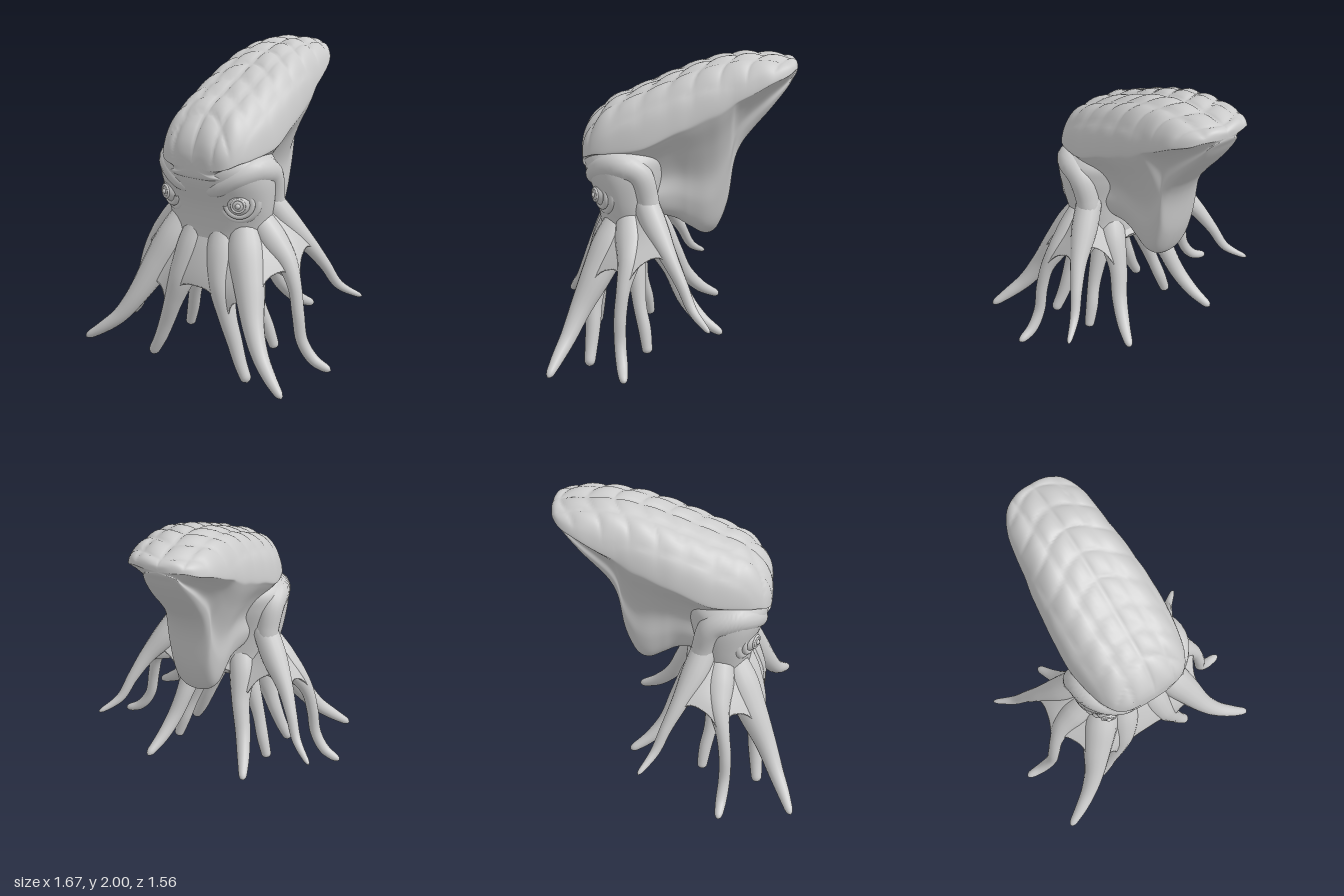
import * as THREE from 'three';
import { mergeVertices } from 'three/addons/utils/BufferGeometryUtils.js';
import { ParametricGeometry } from 'three/addons/geometries/ParametricGeometry.js';

const material = new THREE.MeshStandardMaterial({ color: 0xcccccc, roughness: 0.8 });

// Smooth interpolation through rows of numbers, t in 0..1
function sample(rows, t) {
  const n = rows.length - 1;
  const f = Math.min(Math.max(t, 0), 1) * n;
  const i = Math.min(Math.floor(f), n - 1), k = f - i;
  const a = rows[Math.max(i - 1, 0)], b = rows[i], c = rows[i + 1], d = rows[Math.min(i + 2, n)];
  return b.map((p, j) => p + 0.5 * k * (c[j] - a[j]
    + k * (2 * a[j] - 5 * p + 4 * c[j] - d[j] + k * (3 * (p - c[j]) + d[j] - a[j]))));
}

function surface(name, fn, nu, nv) {
  let geometry = new ParametricGeometry(fn, nu, nv);
  geometry.deleteAttribute('normal');
  geometry.deleteAttribute('uv');
  geometry = mergeVertices(geometry, 1e-5);
  geometry.computeVertexNormals();
  const mesh = new THREE.Mesh(geometry, material);
  mesh.name = name;
  return mesh;
}

// Tapered limb through rows of [x, y, z, radius]; side mirrors it
function limb(name, rows, side) {
  const path = rows.map(([x, y, z, r]) => [x * side, y, z, r]);
  const T = new THREE.Vector3(), N = new THREE.Vector3(), B = new THREE.Vector3();
  const ref = new THREE.Vector3(0, 0, 1);
  return surface(name, (u, v, out) => {
    const [x, y, z, r] = sample(path, v);
    const p = sample(path, v - 0.01), q = sample(path, v + 0.01);
    T.set(q[0] - p[0], q[1] - p[1], q[2] - p[2]).normalize();
    N.crossVectors(ref, T).normalize();
    B.crossVectors(T, N);
    const a = (u % 1) * Math.PI * 2;
    const round = Math.sqrt(Math.min(1, (1 - v) * 20, v * 20 + 1e-9));
    out.set(x, y, z).addScaledVector(N, Math.cos(a) * r * round)
      .addScaledVector(B, Math.sin(a) * r * round);
  }, 16, 48);
}

// Mantle slices from front to back: z, top, ridge height, half width, bottom, lobe half width
const MANTLE = [
  [0.59, 1.39, 1.37, 0.0, 1.35, 0.0],
  [0.585, 1.45, 1.36, 0.14, 1.3, 0.1],
  [0.56, 1.52, 1.38, 0.23, 1.28, 0.16],
  [0.5, 1.605, 1.41, 0.285, 1.24, 0.2],
  [0.4, 1.695, 1.43, 0.325, 1.12, 0.24],
  [0.2, 1.785, 1.47, 0.36, 0.98, 0.22],
  [0.0, 1.87, 1.57, 0.355, 0.92, 0.16],
  [-0.1, 1.91, 1.61, 0.345, 0.86, 0.15],
  [-0.2, 1.945, 1.66, 0.335, 0.81, 0.15],
  [-0.28, 1.965, 1.69, 0.325, 0.85, 0.14],
  [-0.35, 1.98, 1.73, 0.31, 1.03, 0.13],
  [-0.385, 1.985, 1.75, 0.305, 1.28, 0.13],
  [-0.43, 1.99, 1.77, 0.3, 1.41, 0.13],
  [-0.5, 1.99, 1.8, 0.29, 1.51, 0.13],
  [-0.6, 1.985, 1.85, 0.27, 1.63, 0.13],
  [-0.7, 1.975, 1.885, 0.22, 1.76, 0.11],
  [-0.75, 1.965, 1.91, 0.16, 1.84, 0.09],
  [-0.775, 1.945, 1.91, 0.08, 1.88, 0.05],
  [-0.78, 1.92, 1.91, 0.0, 1.9, 0.0],
];

// Pillow-like scales in arched rows over the mantle's back
function scales(x, z) {
  const a = Math.sin(Math.PI * x / 0.145);
  const b = Math.sin(Math.PI * ((z + 1) / 0.165 + 0.35 * Math.cos(x * 11)));
  return 0.024 * Math.abs(a * b) ** 0.55 - 0.012;
}

function mantle() {
  return surface('mantle', (u, v, out) => {
    const [z, top, ridge, w, bottom, lobe] = sample(MANTLE, v);
    const rise = top - ridge, drop = ridge - bottom;
    const side = u <= 0.5 ? 1 : -1;
    const section = [
      [0, top], [0.4 * w, top - 0.03 * rise], [0.7 * w, top - 0.2 * rise],
      [0.91 * w, top - 0.55 * rise], [w, ridge],
      [0.95 * w, ridge - 0.08 * drop], [0.6 * w + 0.25 * lobe, ridge - 0.27 * drop],
      [0.2 * w + 0.7 * lobe, ridge - 0.5 * drop], [1.12 * lobe, ridge - 0.72 * drop],
      [0.92 * lobe, ridge - 0.9 * drop], [0.5 * lobe, ridge - 0.98 * drop], [0, bottom],
    ];
    const t = side > 0 ? u * 2 : 2 - u * 2;
    const [x, y] = sample(section, t);
    const fade = Math.max(0, 1 - (t / 0.34) ** 4) * Math.min(1, w / 0.25);
    const bump = scales(x, z) * fade;
    out.set(x * side, y + bump, z + bump * Math.max(0, (z - 0.3) * 2));
  }, 128, 120);
}

// Head from crown to throat: y, half width, half depth, centre z
const HEAD = [
  [1.5, 0, 0, 0.33], [1.47, 0.25, 0.19, 0.32], [1.38, 0.37, 0.265, 0.31],
  [1.27, 0.395, 0.265, 0.31], [1.1, 0.38, 0.22, 0.295], [0.95, 0.35, 0.205, 0.28],
  [0.8, 0.32, 0.2, 0.27], [0.72, 0.2, 0.12, 0.27], [0.7, 0, 0, 0.27],
];

function head() {
  const squared = (s) => Math.sign(s) * Math.abs(s) ** 0.92;
  return surface('head', (u, v, out) => {
    const [y, rx, rz, cz] = sample(HEAD, v);
    const a = -(u % 1) * Math.PI * 2;
    out.set(squared(Math.sin(a)) * rx, y, cz + squared(Math.cos(a)) * rz);
  }, 64, 56);
}

// Tentacles of the model's left side, front to back: x, y, z, radius
const TENTACLES = {
  frontInnerTentacle: [[0.08, 1.02, 0.36, 0.07], [0.11, 0.8, 0.42, 0.11], [0.155, 0.6, 0.495, 0.088],
    [0.21, 0.42, 0.525, 0.062], [0.27, 0.25, 0.53, 0.05], [0.32, 0.12, 0.54, 0.042], [0.38, 0.005, 0.55, 0.034]],
  frontOuterTentacle: [[0.2, 1.04, 0.32, 0.07], [0.27, 0.83, 0.4, 0.115], [0.355, 0.64, 0.49, 0.1],
    [0.445, 0.44, 0.59, 0.07], [0.54, 0.29, 0.66, 0.053], [0.65, 0.19, 0.72, 0.04], [0.765, 0.11, 0.77, 0.022]],
  sideTentacle: [[0.24, 1.05, 0.28, 0.08], [0.37, 0.88, 0.27, 0.1], [0.49, 0.76, 0.28, 0.07],
    [0.57, 0.62, 0.31, 0.045], [0.61, 0.45, 0.33, 0.04], [0.64, 0.28, 0.33, 0.038],
    [0.72, 0.16, 0.315, 0.036], [0.835, 0.11, 0.3, 0.024]],
  backSideTentacle: [[0.27, 1.15, 0.2, 0.08], [0.385, 0.96, 0.12, 0.085], [0.5, 0.8, 0.03, 0.055],
    [0.58, 0.65, -0.05, 0.038], [0.65, 0.5, -0.12, 0.03], [0.77, 0.41, -0.22, 0.015]],
  backTentacle: [[0.12, 0.95, 0.22, 0.1], [0.17, 0.8, 0.11, 0.09], [0.2, 0.62, 0.01, 0.062],
    [0.25, 0.44, -0.07, 0.052], [0.3, 0.31, -0.18, 0.042], [0.35, 0.225, -0.315, 0.024]],
};
const INNER_TENTACLE = [[0.1, 0.88, 0.28, 0.08], [0.17, 0.65, 0.25, 0.065], [0.25, 0.4, 0.225, 0.045],
  [0.3, 0.23, 0.19, 0.042], [0.345, 0.08, 0.17, 0.032]];

// Skin stretched between neighbouring tentacles, arched along its lower edge
function web() {
  const left = Object.values(TENTACLES);
  const right = left.map((rows) => rows.map(([x, y, z, r]) => [-x, y, z, r]));
  const ring = [...right, ...left.reverse()];
  const valley = [0.4, 0.3, 0.33, 0.26, 0.18, 0.26, 0.33, 0.3, 0.4, 0.35];
  const centre = new THREE.Vector3(0, 0.8, 0.26);
  return surface('web', (u, v, out) => {
    const f = (u % 1) * 10, i = Math.floor(f), k = f - i;
    const reach = valley[i] + 0.12 * Math.abs(2 * k - 1) ** 3;
    const t = reach * Math.min(1, v / 0.75);
    const p = sample(ring[i], t), q = sample(ring[(i + 1) % 10], t);
    const [x, y, z, r] = p.map((n, j) => n + (q[j] - n) * k);
    const push = 0.85 * r / Math.hypot(x, z - 0.26);
    const inward = Math.max(0, v - 0.75) * 4;
    out.set(x * (1 + push), y, z + (z - 0.26) * push).lerp(centre, inward);
  }, 120, 48);
}

const BROW = [[0.06, 1.2, 0.5, 0.045], [0.15, 1.245, 0.5, 0.065], [0.25, 1.31, 0.445, 0.083],
  [0.315, 1.335, 0.34, 0.09], [0.325, 1.28, 0.22, 0.085], [0.32, 1.13, 0.17, 0.075], [0.33, 1.0, 0.15, 0.07]];

function eye(side) {
  const group = new THREE.Group();
  group.name = side > 0 ? 'leftEye' : 'rightEye';
  const add = (name, geometry, z, turn = 0) => {
    const mesh = new THREE.Mesh(geometry, material);
    mesh.name = name;
    mesh.position.z = z;
    mesh.rotation.z = turn;
    group.add(mesh);
  };
  add('eyeball', new THREE.SphereGeometry(0.08, 32, 24), 0);
  add('irisRing', new THREE.TorusGeometry(0.04, 0.008, 10, 32), 0.069);
  add('pupil', new THREE.SphereGeometry(0.017, 16, 12), 0.075);
  // lids tilt with the scowl
  const start = Math.PI * 0.95 + side * 0.3;
  add('lowerLid', new THREE.TorusGeometry(0.08, 0.02, 12, 36, Math.PI * 1.1), 0.025, start);
  add('eyeBag', new THREE.TorusGeometry(0.108, 0.03, 12, 36, Math.PI * 1.1), -0.01, start);
  group.position.set(0.245 * side, 1.14, 0.435);
  group.rotation.y = 0.45 * side;
  return group;
}

export function createModel() {
  const model = new THREE.Group();
  model.name = 'octopus';
  model.add(mantle(), head(), web());
  for (const side of [1, -1]) {
    const prefix = side > 0 ? 'left ' : 'right ';
    for (const [name, rows] of Object.entries(TENTACLES)) model.add(limb(prefix + name, rows, side));
    model.add(limb(prefix + 'innerTentacle', INNER_TENTACLE, side));
    model.add(limb(prefix + 'brow', BROW, side), eye(side));
  }
  return model;
}
